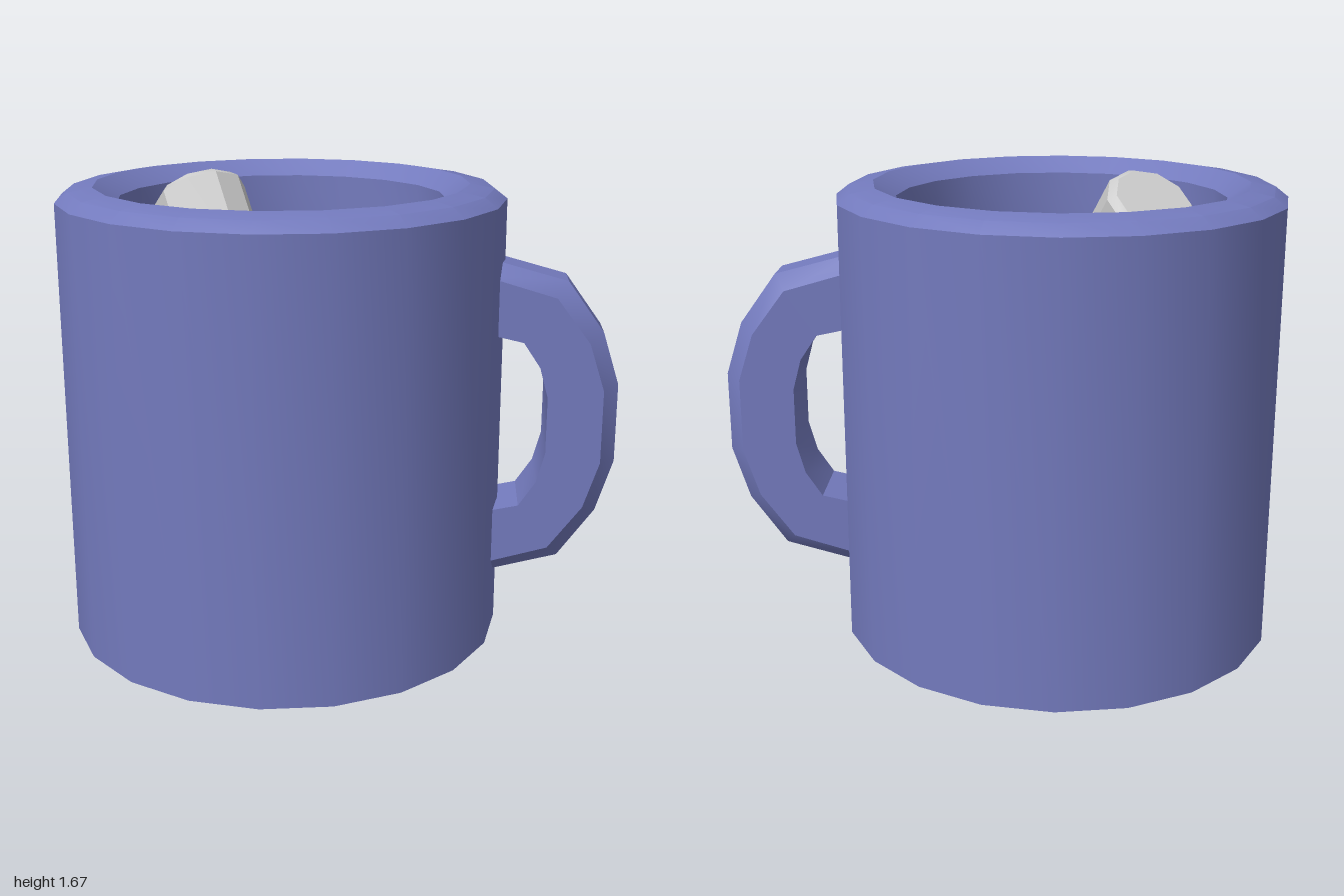
import * as THREE from 'three';
import { toCreasedNormals } from 'three/addons/utils/BufferGeometryUtils.js';

const CUP_X = -0.21;
const LIQUID_Y = 1.42;

const blue = new THREE.MeshStandardMaterial({ color: 0x737abd });
const brown = new THREE.MeshStandardMaterial({ color: 0x4e301b });
const grey = new THREE.MeshStandardMaterial({ color: 0xcccccc });

function lathe(profile, sides, crease) {
  const points = profile.map(([r, y]) => new THREE.Vector2(r, y));
  return toCreasedNormals(new THREE.LatheGeometry(points, sides), crease);
}

function addMesh(parent, name, geometry, material) {
  const mesh = new THREE.Mesh(geometry, material);
  mesh.name = name;
  parent.add(mesh);
  return mesh;
}

// Six-sided section with bevelled outer edges, swept along three matching outlines
function handleGeometry() {
  // upper half of each outline; the lower half mirrors it
  const inner = [[0.5, 1.133], [0.65, 1.1], [0.71, 1.01], [0.74, 0.9]];
  const bevel = [[0.5, 1.336], [0.76, 1.26], [0.88, 1.1], [0.935, 0.93]];
  const outer = [[0.5, 1.391], [0.8, 1.31], [0.93, 1.13], [0.99, 0.94]];
  const midY = 0.797;
  const full = (half) => [...half, ...half.map(([x, y]) => [x, 2 * midY - y]).reverse()];
  const section = [
    [inner, -0.13], [bevel, -0.13], [outer, -0.07],
    [outer, 0.07], [bevel, 0.13], [inner, 0.13],
  ].map(([half, z]) => full(half).map(([x, y]) => [x, y, z]));

  const positions = [];
  const sides = section.length;
  for (let i = 0; i < section[0].length - 1; i++) {
    for (let j = 0; j < sides; j++) {
      const k = (j + 1) % sides;
      const a = section[j][i], b = section[k][i];
      const c = section[k][i + 1], d = section[j][i + 1];
      positions.push(...a, ...b, ...d, ...b, ...c, ...d);
    }
  }
  const geometry = new THREE.BufferGeometry();
  geometry.setAttribute('position', new THREE.Float32BufferAttribute(positions, 3));
  geometry.computeVertexNormals();
  return toCreasedNormals(geometry, 0.5);
}

// Short cylinder with bevelled rims, turned to lie along the given axis
function addMarshmallow(parent, name, radius, center, axis) {
  const h = 0.205, bevel = 0.025;
  const geometry = lathe([
    [0, -h], [radius - bevel, -h], [radius, -h + bevel],
    [radius, h - bevel], [radius - bevel, h], [0, h],
  ], 10, 0.6);
  const mesh = addMesh(parent, name, geometry, grey);
  mesh.position.set(...center);
  mesh.quaternion.setFromUnitVectors(
    new THREE.Vector3(0, 1, 0), new THREE.Vector3(...axis).normalize());
}

export function createModel() {
  const group = new THREE.Group();
  group.name = 'mug';

  // Cup wall with rounded rim
  const cup = addMesh(group, 'cup', lathe([
    [0, 0], [0.79, 0], [0.79, 1.585], [0.745, 1.62], [0.66, 1.635],
    [0.58, 1.58], [0.58, LIQUID_Y - 0.02],
  ], 20, 0.5), blue);
  cup.position.x = CUP_X;

  addMesh(group, 'handle', handleGeometry(), blue);

  // Drink surface
  const drink = addMesh(group, 'drink',
    new THREE.CircleGeometry(0.58, 20).rotateX(-Math.PI / 2), brown);
  drink.position.set(CUP_X, LIQUID_Y, 0);

  // Floating marshmallows: one leaning upright, one lying down
  addMarshmallow(group, 'uprightMarshmallow', 0.168, [-0.46, 1.425, -0.005], [-0.34, 0.79, -0.51]);
  addMarshmallow(group, 'lyingMarshmallow', 0.158, [0.02, 1.37, 0.01], [0.99, 0, 0.15]);

  return group;
}
